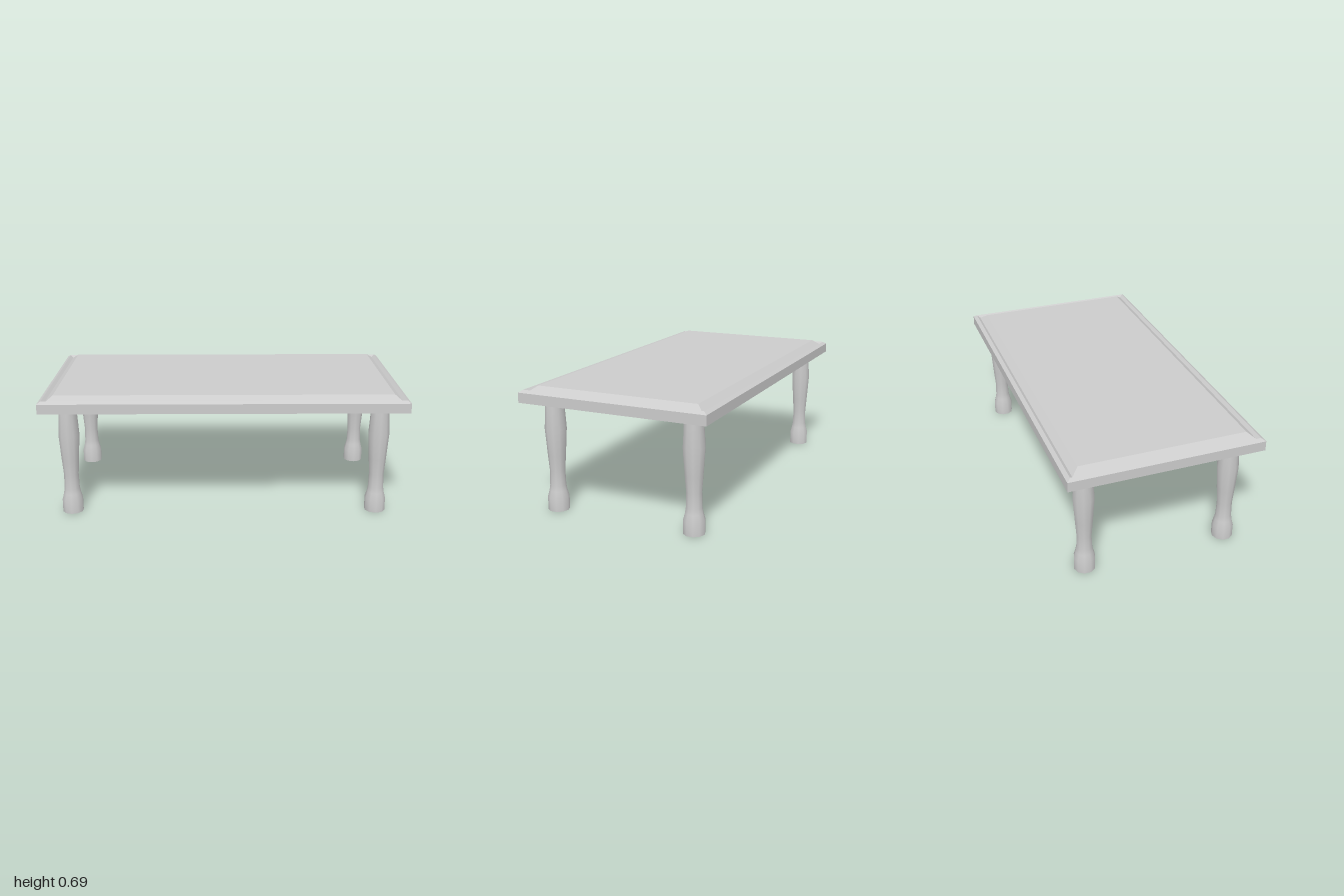
import * as THREE from 'three';
import { toCreasedNormals } from 'three/addons/utils/BufferGeometryUtils.js';

const material = new THREE.MeshStandardMaterial({ color: 0xcccccc });
const HALF_X = 1, HALF_Z = 0.53;

// Stacks rectangular loops, each given as [inset from the edge, height], and closes both ends.
function rectangularLoft(profile) {
  const positions = [];
  const loops = profile.map(([inset, y]) => {
    const x = HALF_X - inset, z = HALF_Z - inset;
    return [[-x, y, z], [x, y, z], [x, y, -z], [-x, y, -z]];
  });
  const quad = (a, b, c, d) => positions.push(...a, ...b, ...c, ...a, ...c, ...d);
  for (let i = 0; i < loops.length - 1; i++) {
    const lower = loops[i], upper = loops[i + 1];
    for (let j = 0; j < 4; j++) {
      const k = (j + 1) % 4;
      quad(lower[j], lower[k], upper[k], upper[j]);
    }
  }
  const first = loops[0], last = loops[loops.length - 1];
  quad(first[3], first[2], first[1], first[0]);
  quad(...last);
  const geometry = new THREE.BufferGeometry();
  geometry.setAttribute('position', new THREE.Float32BufferAttribute(positions, 3));
  geometry.computeVertexNormals();
  return geometry;
}

// Turned leg: straight foot, narrow ankle, swelling towards the top.
function legGeometry() {
  const profile = [
    [0, 0], [0.058, 0], [0.058, 0.075], [0.048, 0.11], [0.043, 0.14],
    [0.041, 0.22], [0.048, 0.31], [0.058, 0.455], [0.049, 0.61],
  ].map(([r, y]) => new THREE.Vector2(r, y));
  return toCreasedNormals(new THREE.LatheGeometry(profile, 10), 0.75);
}

export function createModel() {
  const table = new THREE.Group();
  table.name = 'lowTable';

  // Top with a sloped underside, ridged rim, V-groove and raised centre panel
  const top = new THREE.Mesh(rectangularLoft([
    [0.07, 0.603], [0, 0.612], [0, 0.666], [0.02, 0.679],
    [0.037, 0.666], [0.076, 0.695],
  ]), material);
  top.name = 'tableTop';
  table.add(top);

  // Four matching legs
  const leg = legGeometry();
  for (const [zName, z] of [['front', 0.403], ['back', -0.403]]) {
    for (const [xName, x] of [['Left', 0.858], ['Right', -0.858]]) {
      const mesh = new THREE.Mesh(leg, material);
      mesh.name = `${zName}${xName}Leg`;
      mesh.position.set(x, 0, z);
      table.add(mesh);
    }
  }
  return table;
}
